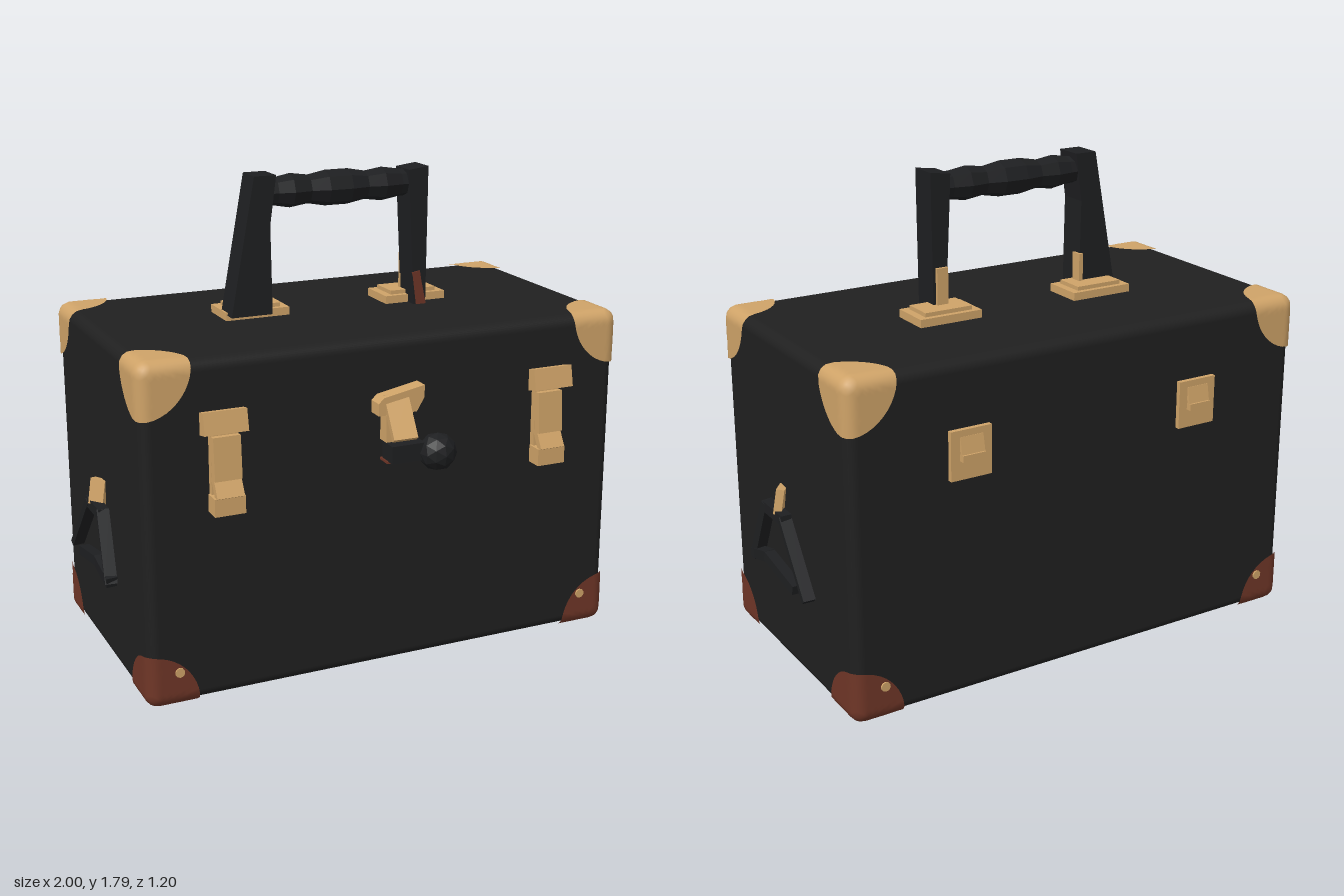
import * as THREE from 'three';
import { RoundedBoxGeometry } from 'three/addons/geometries/RoundedBoxGeometry.js';

const W = 0.935, H = 1.25, ZC = -0.06, D = 0.5, R = 0.04;

export function createModel() {
  const model = new THREE.Group();
  model.name = 'travelCase';
  const mat = (name, color, flatShading = false) => {
    const m = new THREE.MeshStandardMaterial({ color, flatShading });
    m.name = name;
    return m;
  };
  const leather = mat('blackLeather', 0x202020);
  const strapBlack = mat('strapBlack', 0x1e1f21, true);
  const brass = mat('brass', 0xcfa368);
  const brown = mat('brownLeather', 0x6f3627);

  const add = (name, geo, material, x = 0, y = 0, z = 0, parent = model) => {
    const m = new THREE.Mesh(geo, material);
    m.name = name;
    m.position.set(x, y, z);
    parent.add(m);
    return m;
  };
  const box = (name, material, x0, x1, y0, y1, z0, z1) =>
    add(name, new THREE.BoxGeometry(x1 - x0, y1 - y0, z1 - z0), material,
      (x0 + x1) / 2, (y0 + y1) / 2, (z0 + z1) / 2);
  // Bar of rectangular section running between two points
  const bar = (name, material, a, b, w, d) => {
    const p = new THREE.Vector3(...a), q = new THREE.Vector3(...b);
    const dir = q.clone().sub(p);
    const m = add(name, new THREE.BoxGeometry(w, dir.length(), d), material);
    m.position.copy(p).add(q).multiplyScalar(0.5);
    m.quaternion.setFromUnitVectors(new THREE.Vector3(0, 1, 0), dir.normalize());
    return m;
  };
  // Outline in x and y pushed through a depth in z
  const plate = (name, material, pts, z0, z1) => {
    const shape = new THREE.Shape(pts.map(p => new THREE.Vector2(...p)));
    return add(name, new THREE.ExtrudeGeometry(shape, { depth: z1 - z0, bevelEnabled: false }), material, 0, 0, z0);
  };

  // Case body
  add('caseBody', new RoundedBoxGeometry(2 * W, H, 2 * D, 4, R), leather, 0, H / 2, ZC);

  // Corner cap: three quarter discs wrapped around a rounded corner
  const cornerCap = (sx, sy, sz) => {
    const half = [W, H / 2, D], s = [sx, sy, sz], size = [0.185, 0.195, 0.185];
    const pos = [], nor = [], idx = [], N = 8, M = 12;
    for (let axis = 0; axis < 3; axis++) {
      const u = (axis + 1) % 3, v = (axis + 2) % 3, start = pos.length / 3;
      for (let i = 0; i <= N; i++) for (let j = 0; j <= M; j++) {
        const a = j / M * Math.PI / 2, p = [...half];
        p[u] -= size[u] * i / N * Math.cos(a);
        p[v] -= size[v] * i / N * Math.sin(a);
        const inner = p.map((c, k) => Math.min(c, half[k] - R));
        const n = new THREE.Vector3(...p.map((c, k) => c - inner[k])).normalize().toArray();
        for (let k = 0; k < 3; k++) {
          pos.push(s[k] * (inner[k] + n[k] * (R + 0.009)));
          nor.push(s[k] * n[k]);
        }
      }
      for (let i = 0; i < N; i++) for (let j = 0; j < M; j++) {
        const a = start + i * (M + 1) + j, b = a + M + 1;
        if (sx * sy * sz > 0) idx.push(a, b, b + 1, a, b + 1, a + 1);
        else idx.push(a, b + 1, b, a, a + 1, b + 1);
      }
    }
    const g = new THREE.BufferGeometry();
    g.setAttribute('position', new THREE.Float32BufferAttribute(pos, 3));
    g.setAttribute('normal', new THREE.Float32BufferAttribute(nor, 3));
    g.setIndex(idx);
    return g;
  };
  for (const sx of [-1, 1]) for (const sz of [-1, 1]) {
    add('topCorner', cornerCap(sx, 1, sz), brass, 0, H / 2, ZC);
    add('bottomCorner', cornerCap(sx, -1, sz), brown, 0, H / 2, ZC);
    const rivet = add('rivet', new THREE.CylinderGeometry(0.018, 0.018, 0.008, 10), brass,
      sx * 0.825, 0.125, ZC + sz * (D + 0.011));
    rivet.rotation.x = Math.PI / 2;
  }

  // Carrying handle: base plates, legs and a lumpy grip
  for (const s of [-1, 1]) {
    const x0 = s < 0 ? -0.45 : 0.2;
    box('handleBase', brass, x0, x0 + 0.25, 1.245, 1.28, -0.18, -0.02);
    box('handleBaseStep', brass, x0 + 0.03, x0 + 0.22, 1.28, 1.295, -0.16, -0.04);
  }
  plate('leftLeg', strapBlack, [[-0.445, 1.27], [-0.285, 1.27], [-0.29, 1.6], [-0.265, 1.78], [-0.35, 1.78]], -0.085, 0.025);
  plate('rightLeg', strapBlack, [[0.295, 1.25], [0.345, 1.25], [0.35, 1.775], [0.27, 1.765], [0.275, 1.65]], -0.085, 0.025);
  box('legClip', brass, -0.295, -0.278, 1.28, 1.4, -0.095, -0.05);
  box('legClip', brass, 0.29, 0.335, 1.28, 1.43, -0.097, -0.08);
  plate('legTab', brown, [[0.305, 1.25], [0.345, 1.25], [0.325, 1.34], [0.318, 1.38], [0.288, 1.375]], 0.02, 0.03);
  const gripProfile = [[0, -0.3], [0.05, -0.3], [0.052, -0.25], [0.063, -0.19], [0.053, -0.12], [0.066, -0.05],
    [0.066, 0.04], [0.053, 0.11], [0.063, 0.18], [0.052, 0.25], [0.05, 0.3], [0, 0.3]];
  const grip = add('grip', new THREE.LatheGeometry(gripProfile.map(p => new THREE.Vector2(...p)), 8),
    strapBlack, 0, 1.712, -0.032);
  grip.rotation.z = -Math.PI / 2;

  // Front side latches
  for (const [x, s] of [[-0.645, 1], [0.63, -1]]) {
    const cap = x + s * 0.0 + (s < 0 ? 0.015 : 0);
    const top = box('latchTop', brass, cap - 0.08, cap + 0.08, 0.99, 1.07, 0.43, 0.485);
    top.rotation.x = -0.2;
    box('latchBack', brass, x - 0.05, x + 0.05, 0.74, 1.0, 0.435, 0.465);
    bar('latchLever', brass, [x, 0.985, 0.475], [x, 0.83, 0.485], 0.1, 0.03);
    bar('latchHook', brass, [x, 0.84, 0.47], [x, 0.77, 0.51], 0.1, 0.025);
    box('latchFoot', brass, x - 0.058, x + 0.055, 0.71, 0.775, 0.45, 0.515);
  }

  // Centre hasp and padlock
  plate('haspPlate', brass, [[-0.08, 0.985], [0.07, 0.985], [0.1, 1.035], [0.1, 1.08], [-0.06, 1.05], [-0.08, 1.03]], 0.435, 0.5);
  bar('haspTongue', brass, [-0.005, 1.05, 0.475], [-0.01, 0.91, 0.57], 0.09, 0.025);
  box('haspStaple', brass, -0.045, 0.06, 0.88, 0.98, 0.435, 0.49);
  box('lockBar', strapBlack, -0.04, 0.09, 0.81, 0.875, 0.45, 0.53);
  box('lockTab', brown, -0.045, 0.0, 0.803, 0.812, 0.44, 0.5);
  add('lockBall', new THREE.IcosahedronGeometry(0.07, 1), strapBlack, 0.14, 0.835, 0.53);

  // Back hinges
  for (const x of [-0.48, 0.48]) {
    box('hingePlate', brass, x - 0.08, x + 0.08, 0.83, 1.01, -0.578, -0.55);
    box('hingeKnuckle', brass, x - 0.045, x + 0.045, 0.9, 0.925, -0.6, -0.57);
    bar('hingeFlap', brass, [x, 0.985, -0.575], [x, 0.91, -0.59], 0.09, 0.012);
  }

  // Hanging side handles
  for (const s of [-1, 1]) {
    const P = (x, y, z) => [s * x, y, z];
    bar('sideMount', brass, P(0.945, 0.705, -0.04), P(0.96, 0.61, -0.035), 0.03, 0.065);
    bar('sideYoke', strapBlack, P(0.965, 0.605, 0.06), P(0.965, 0.605, -0.11), 0.04, 0.04);
    bar('sideStrap', strapBlack, P(0.965, 0.62, 0.045), P(0.975, 0.37, 0.15), 0.045, 0.03);
    bar('sideStrap', strapBlack, P(0.965, 0.61, -0.09), P(0.975, 0.37, -0.295), 0.045, 0.025);
    bar('sideGrip', strapBlack, P(0.975, 0.38, 0.16), P(0.98, 0.42, 0.02), 0.04, 0.04);
    bar('sideGrip', strapBlack, P(0.98, 0.42, 0.03), P(0.975, 0.375, -0.2), 0.04, 0.035);
  }
  return model;
}
